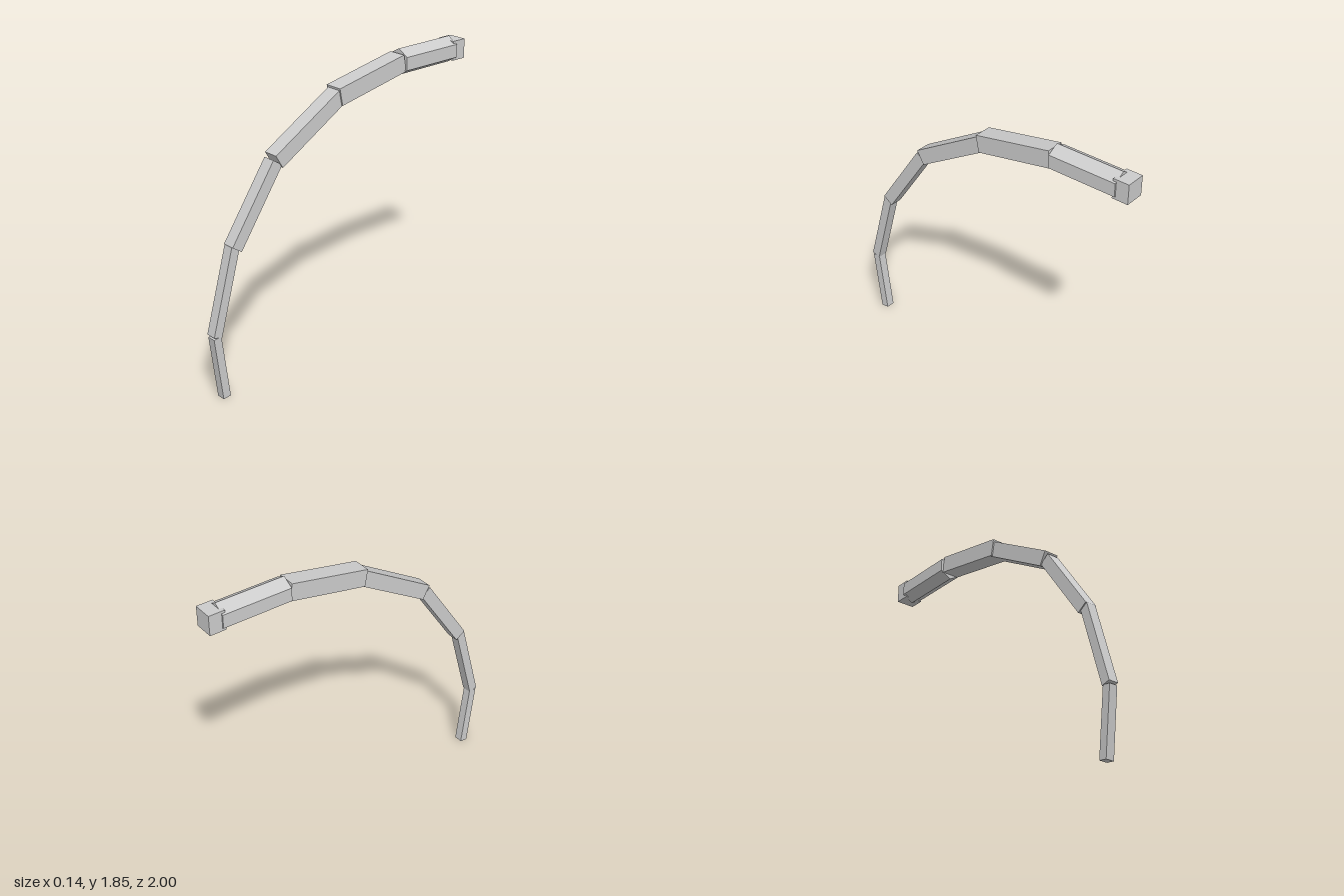
import * as THREE from 'three';

const grey = new THREE.MeshStandardMaterial({ color: 0xcccccc });
grey.name = 'light grey';

export function createModel() {
  const group = new THREE.Group();
  group.name = 'curvedSegmentedArm';

  const add = (name, geometry) => {
    const mesh = new THREE.Mesh(geometry, grey);
    mesh.name = name;
    group.add(mesh);
    return mesh;
  };

  // Square bars growing thicker along the arc: [z0, y0, z1, y1, width, thickness]
  const bars = [
    [0.922, 0.003, 0.972, 0.417, 0.056, 0.052],
    [0.972, 0.422, 0.823, 0.947, 0.066, 0.058],
    [0.818, 0.933, 0.510, 1.380, 0.080, 0.077],
    [0.505, 1.385, 0.023, 1.668, 0.098, 0.096],
    [0.041, 1.668, -0.478, 1.770, 0.116, 0.109],
  ];
  bars.forEach(([z0, y0, z1, y1, width, thickness], i) => {
    const dz = z1 - z0, dy = y1 - y0;
    const bar = add(`bar${i + 1}`, new THREE.BoxGeometry(width, Math.hypot(dz, dy), thickness));
    bar.position.set(0, (y0 + y1) / 2, (z0 + z1) / 2);
    bar.rotation.x = Math.atan2(dz, dy);
  });

  // Hexagonal sleeve with an edge on top
  const sleeve = add('hexSleeve', new THREE.CylinderGeometry(0.083, 0.083, 0.44, 6).toNonIndexed());
  sleeve.geometry.computeVertexNormals(); // flat facets
  sleeve.geometry.rotateX(Math.PI / 2);
  sleeve.position.set(0, 1.767, -0.7);

  // Square block at the tip
  const tip = add('tipBlock', new THREE.BoxGeometry(0.124, 0.124, 0.102));
  tip.position.set(0, 1.767, -0.949);

  return group;
}
